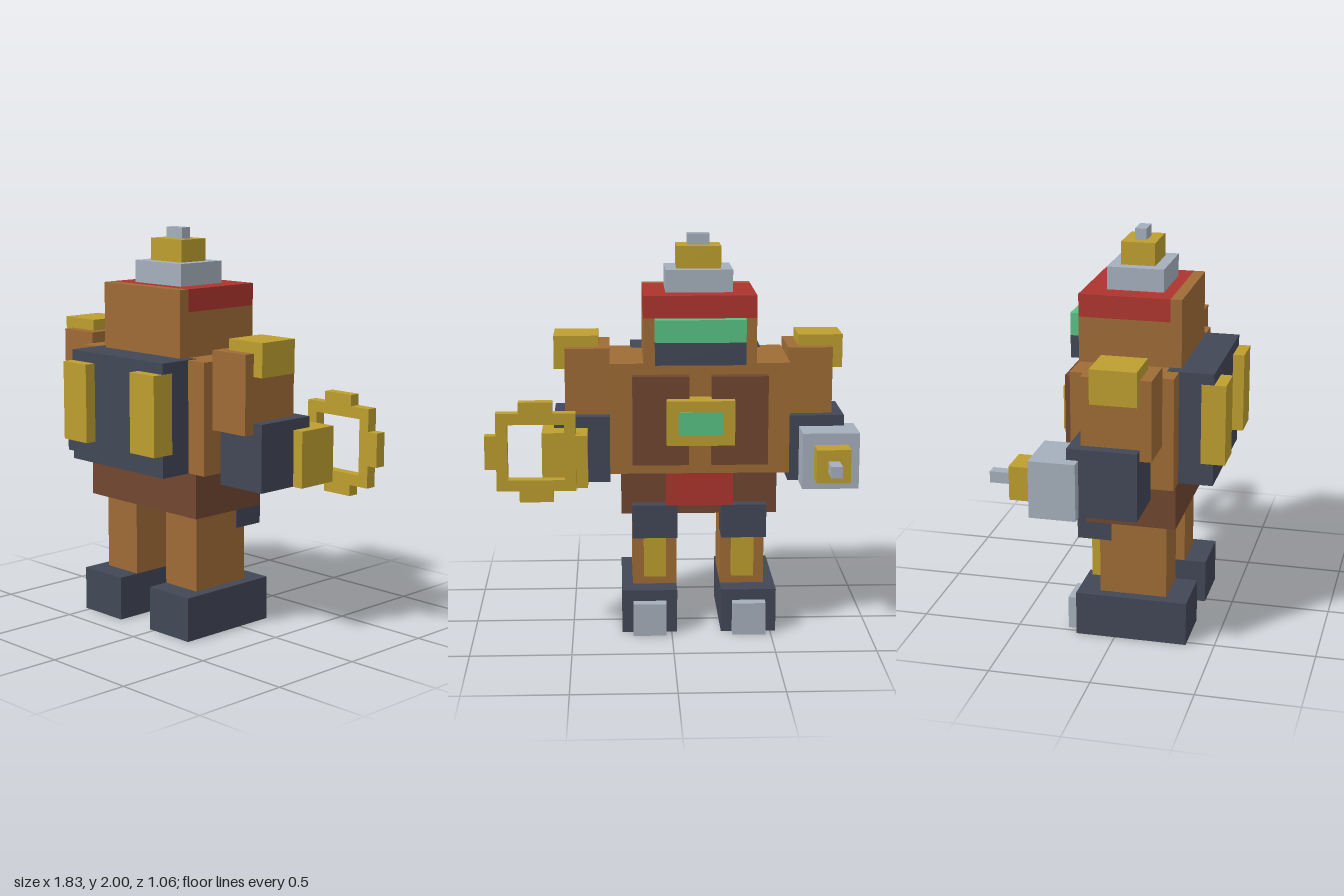
import * as THREE from 'three';

const U = 2 / 36; // one block

const mat = (name, color) => {
  const m = new THREE.MeshStandardMaterial({ color });
  m.name = name;
  return m;
};

export function createModel() {
  const brown = mat('bronzeBrown', 0x9e6b35);
  const umber = mat('darkBrown', 0x704630);
  const slate = mat('slate', 0x424757);
  const gold = mat('gold', 0xbd9e2e);
  const steel = mat('steel', 0xa5afbc);
  const red = mat('red', 0xad342d);
  const green = mat('green', 0x58c284);

  const model = new THREE.Group();
  model.name = 'blockRobot';
  // The robot faces -z; blocks are laid out around its own mid-plane.
  const place = (obj, x, y, z) => obj.position.set((x - 2.5) * U, y * U, (z + 0.5) * U);

  // Box from block limits; grow swells it a hair where faces would coincide.
  const block = (name, m, [x0, x1], [y0, y1], [z0, z1], grow = 0) => {
    const g = new THREE.BoxGeometry(
      (x1 - x0 + grow) * U, (y1 - y0 + grow) * U, (z1 - z0 + grow) * U);
    const mesh = new THREE.Mesh(g, m);
    mesh.name = name;
    place(mesh, (x0 + x1) / 2, (y0 + y1) / 2, (z0 + z1) / 2);
    model.add(mesh);
  };
  const pair = (name, m, [x0, x1], y, z, grow) => {
    block(name + 'Left', m, [x0, x1], y, z, grow);
    block(name + 'Right', m, [-x1, -x0], y, z, grow);
  };

  // Legs
  pair('foot', slate, [2, 7], [0, 4], [-4, 6]);
  pair('toeCap', steel, [3, 6], [0, 3], [-5, -4]);
  pair('leg', brown, [2, 6], [4, 11], [-2, 4]);
  pair('shinPlate', gold, [3, 5], [5, 9], [-3, -2]);
  pair('kneeGuard', slate, [2, 6], [9, 12], [-4, -1], 0.06);

  // Body
  block('pelvis', umber, [-7, 7], [11, 15], [-3, 5]);
  block('beltPlate', red, [-3, 3], [12, 15], [-4, -3]);
  block('torso', brown, [-8, 8], [15, 25], [-4, 5]);
  pair('chestPlate', umber, [1, 6], [16, 24], [-5, -4]);
  block('chestEmblem', gold, [-3, 3], [18, 22], [-6, -4]);
  block('chestLight', green, [-2, 2], [19, 21], [-6.04, -5.95]);
  block('backpack', slate, [-6, 6], [15, 25], [4, 8], 0.06);
  pair('backpackTank', gold, [3, 6], [17, 24], [7, 9], 0.12);

  // Head
  block('head', brown, [-5, 5], [25, 29], [-4, 5]);
  block('headBack', brown, [-5, 5], [29, 31], [4, 5]);
  block('headBand', red, [-5, 5], [29, 31], [-4, 4]);
  block('visor', green, [-4, 4], [27, 29], [-5, -4]);
  block('jaw', slate, [-4, 4], [25, 27], [-5, -4]);
  block('crownBase', steel, [-3, 3], [31, 33], [-2, 3]);
  block('crownMiddle', gold, [-2, 2], [33, 35], [-1, 2]);
  block('crownTip', steel, [-1, 1], [35, 36], [0, 1]);

  // Arms
  pair('upperArm', brown, [8, 12], [19, 26], [-2, 4]);
  pair('shoulderPad', gold, [9, 13], [24, 27], [-1, 3]);
  pair('forearm', slate, [8, 13], [14, 20], [-3, 3]);

  // Drill hand
  block('drillBase', steel, [-14, -9], [14, 19], [-6, -2], 0.04);
  block('drillCollar', gold, [-13, -10], [15, 18], [-8, -6]);
  block('drillTip', steel, [-12, -11], [16, 17], [-10, -8]);

  // Ring hand: stepped disc with a square opening
  block('ringMount', gold, [10, 14], [14, 19], [-5, -1], 0.04);
  const quarter = [[4.5, 1.5], [3.5, 1.5], [3.5, 3.5], [1.5, 3.5], [1.5, 4.5]];
  const mirrored = [...quarter].reverse().map(([x, y]) => [-x, y]);
  const half = [...quarter, ...mirrored];
  const outline = [...half, ...half.map(([x, y]) => [-x, -y])];
  const points = (list) => list.map(([x, y]) => new THREE.Vector2(x * U, y * U));
  const shape = new THREE.Shape(points(outline));
  shape.holes.push(new THREE.Path(points([[-2.5, -2.5], [-2.5, 2.5], [2.5, 2.5], [2.5, -2.5]])));
  const ring = new THREE.Mesh(
    new THREE.ExtrudeGeometry(shape, { depth: U, bevelEnabled: false }), gold);
  ring.name = 'handRing';
  place(ring, 14.5, 17.5, -6);
  model.add(ring);

  return model;
}
